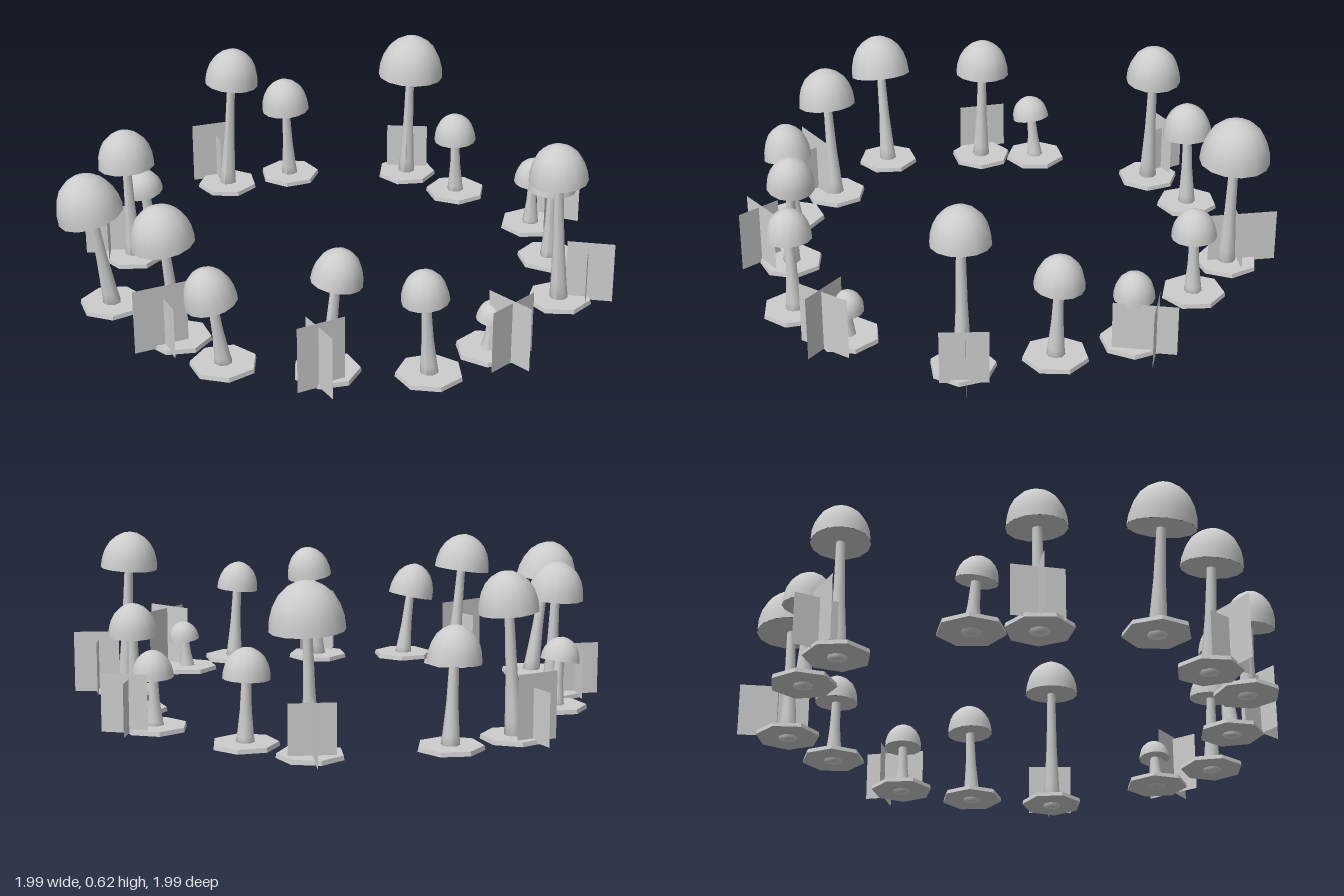
import * as THREE from 'three';

const clay = new THREE.MeshStandardMaterial({ color: 0xcccccc });
clay.name = 'pale grey';
const claySheet = new THREE.MeshStandardMaterial({ color: 0xcccccc, side: THREE.DoubleSide });
claySheet.name = 'pale grey sheet';

const UP = new THREE.Vector3(0, 1, 0);

// cap x, cap z, cap radius, cap bottom, cap top, base x, base z
const MUSHROOMS = [
  [-0.04, -0.83, 0.13, 0.44, 0.61, -0.05, -0.82],
  [0.19, -0.70, 0.083, 0.24, 0.35, 0.195, -0.705],
  [0.56, -0.51, 0.074, 0.19, 0.29, 0.555, -0.51],
  [0.69, -0.26, 0.09, 0.29, 0.41, 0.69, -0.25],
  [0.78, 0.065, 0.107, 0.485, 0.625, 0.80, 0.06],
  [0.66, 0.49, 0.06, 0.125, 0.2, 0.65, 0.495],
  [0.485, 0.73, 0.083, 0.295, 0.41, 0.50, 0.72],
  [0.19, 0.79, 0.09, 0.345, 0.47, 0.16, 0.81],
  [-0.22, 0.90, 0.093, 0.255, 0.39, -0.19, 0.88],
  [-0.44, 0.785, 0.112, 0.39, 0.535, -0.41, 0.76],
  [-0.785, 0.635, 0.12, 0.375, 0.535, -0.735, 0.605],
  [-0.835, 0.22, 0.107, 0.38, 0.52, -0.82, 0.225],
  [-0.86, 0.02, 0.074, 0.18, 0.27, -0.845, 0.0],
  [-0.69, -0.49, 0.107, 0.455, 0.6, -0.715, -0.48],
  [-0.515, -0.64, 0.096, 0.305, 0.435, -0.505, -0.65],
];

// each pair of lines is one crossed tuft: x1, z1, x2, z2, height
const BLADES = [
  [-0.10, -1.0, -0.03, -0.75, 0.21], [-0.14, -0.84, 0.02, -0.88, 0.2],
  [0.63, -0.67, 0.625, -0.44, 0.2], [0.56, -0.6, 0.73, -0.59, 0.22],
  [0.65, 0.51, 0.82, 0.60, 0.25], [0.70, 0.65, 0.795, 0.46, 0.24],
  [0.82, 0.045, 0.99, 0.02, 0.24], [0.885, -0.045, 0.91, 0.125, 0.21],
  [0.115, 0.98, 0.24, 0.85, 0.255], [0.24, 0.98, 0.105, 0.865, 0.24],
  [-0.51, 0.91, -0.365, 0.775, 0.25], [-0.365, 0.895, -0.49, 0.775, 0.2],
  [-1.0, 0.265, -0.84, 0.21, 0.205], [-0.945, 0.145, -0.88, 0.32, 0.195],
  [-0.86, -0.47, -0.73, -0.57, 0.25], [-0.84, -0.605, -0.74, -0.475, 0.2],
];

function part(name, geometry, material = clay) {
  const mesh = new THREE.Mesh(geometry, material);
  mesh.name = name;
  return mesh;
}

// slightly pointed dome with unit radius
const domeGeometry = new THREE.LatheGeometry(
  [[1, 0], [0.97, 0.28], [0.88, 0.54], [0.72, 0.78], [0.5, 0.95], [0.25, 1.06], [0, 1.1]]
    .map(([r, y]) => new THREE.Vector2(r, y / 1.1)), 14);
const undersideGeometry = new THREE.CircleGeometry(1, 14).rotateX(Math.PI / 2);

function makeMushroom([cx, cz, r, bottom, top, bx, bz], i) {
  const mushroom = new THREE.Group();
  mushroom.name = 'mushroom';

  // flat earth patch at the foot
  const patch = part('groundPatch', new THREE.CylinderGeometry(0.117, 0.12, 0.016, 7).toNonIndexed());
  patch.geometry.computeVertexNormals();
  patch.position.set(bx, 0.012, bz);
  patch.rotation.y = i * 1.3;

  // tapering stem, sheared from the foot towards the cap
  const height = bottom + 0.02;
  const stemGeometry = new THREE.LatheGeometry(
    [[0, 0], [0.036, 0], [0.03, 0.15], [0.021, 0.5], [0.016, 1]]
      .map(([x, y]) => new THREE.Vector2(x, y * height)), 8);
  const p = stemGeometry.attributes.position;
  for (let k = 0; k < p.count; k++) {
    const t = p.getY(k) / height;
    p.setX(k, p.getX(k) + (cx - bx) * t);
    p.setZ(k, p.getZ(k) + (cz - bz) * t);
  }
  stemGeometry.computeVertexNormals();
  const stem = part('stem', stemGeometry);
  stem.position.set(bx, 0.001, bz);

  // cap tilted along the lean of the stem
  const cap = new THREE.Group();
  cap.name = 'cap';
  cap.add(part('dome', domeGeometry), part('underside', undersideGeometry));
  cap.scale.set(r, top - bottom, r);
  cap.position.set(cx, bottom, cz);
  const lean = new THREE.Vector3((cx - bx) * 1.5, bottom, (cz - bz) * 1.5).normalize();
  cap.quaternion.setFromUnitVectors(UP, lean);

  mushroom.add(patch, stem, cap);
  return mushroom;
}

// upright sheet of grass between two ground points
function makeBlade([x1, z1, x2, z2, h]) {
  const base = 0.008;
  const blade = part('grassBlade',
    new THREE.PlaneGeometry(Math.hypot(x2 - x1, z2 - z1), h - base), claySheet);
  blade.position.set((x1 + x2) / 2, (h + base) / 2, (z1 + z2) / 2);
  blade.rotation.y = -Math.atan2(z2 - z1, x2 - x1);
  return blade;
}

export function createModel() {
  const model = new THREE.Group();
  model.name = 'mushroomRing';
  MUSHROOMS.forEach((m, i) => model.add(makeMushroom(m, i)));
  for (let i = 0; i < BLADES.length; i += 2) {
    const tuft = new THREE.Group();
    tuft.name = 'grassTuft';
    tuft.add(makeBlade(BLADES[i]), makeBlade(BLADES[i + 1]));
    model.add(tuft);
  }
  return model;
}
